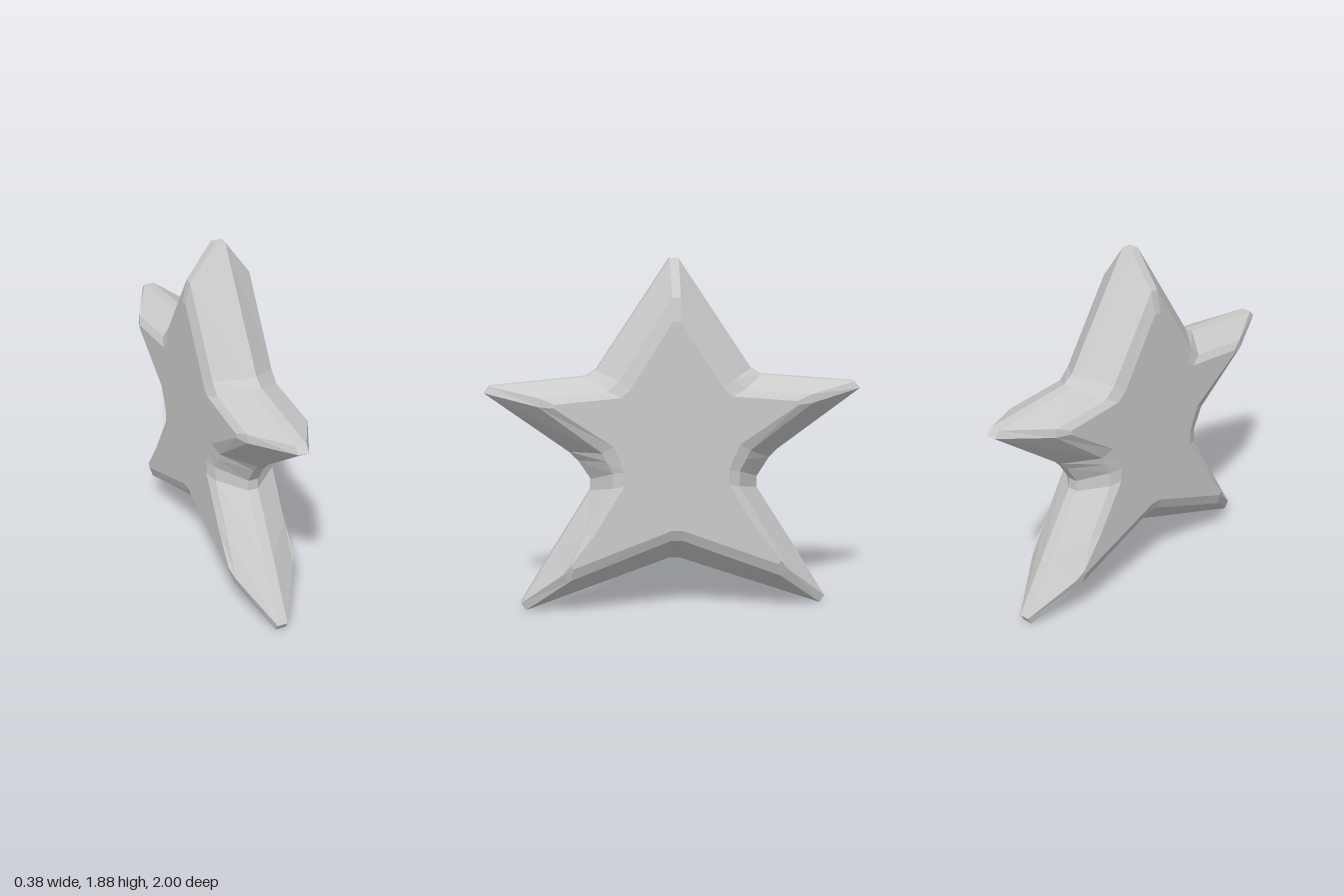
import * as THREE from 'three';

// Half outlines as [z, y], running from the top tip down one side to the bottom notch.
const RIM = [[0.025, 1.88], [0.41, 1.3], [0.465, 1.265], [0.97, 1.22], [1, 1.185], [0.56, 0.865], [0.51, 0.815],
  [0.445, 0.715], [0.445, 0.655], [0.64, 0.345], [0.825, 0.04], [0.8, 0], [0.03, 0.272]];
const SHOULDER = [[0.022, 1.69], [0.3, 1.26], [0.36, 1.205], [0.71, 1.175], [0.72, 1.13], [0.39, 0.88], [0.37, 0.835],
  [0.335, 0.77], [0.335, 0.69], [0.49, 0.43], [0.6, 0.23], [0.56, 0.195], [0.03, 0.4]];
const FACE = [[0.02, 1.57], [0.245, 1.215], [0.29, 1.175], [0.635, 1.145], [0.64, 1.125], [0.335, 0.92], [0.3, 0.85],
  [0.275, 0.78], [0.275, 0.705], [0.43, 0.455], [0.56, 0.285], [0.545, 0.265], [0.03, 0.46]];

// Closes a half outline by mirroring it across z = 0.
const mirrored = (half) => [...half, ...half.map(([z, y]) => [-z, y]).reverse()];

function starGeometry() {
  const levels = [[0.19, FACE], [0.165, SHOULDER], [0.028, RIM], [-0.028, RIM], [-0.165, SHOULDER], [-0.19, FACE]];
  const positions = [];
  const index = [];
  for (const [x, half] of levels) {
    for (const [z, y] of mirrored(half)) positions.push(x, y, z);
  }

  // Bevelled sides between neighbouring levels
  const n = RIM.length * 2;
  for (let k = 0; k < levels.length - 1; k++) {
    for (let i = 0; i < n; i++) {
      const j = (i + 1) % n;
      const a = k * n + i, b = k * n + j, c = a + n, d = b + n;
      index.push(a, c, b, b, c, d);
    }
  }

  // Flat star faces on both sides
  const contour = mirrored(FACE).map(([z, y]) => new THREE.Vector2(-z, y));
  const last = (levels.length - 1) * n;
  for (const [a, b, c] of THREE.ShapeUtils.triangulateShape(contour, [])) {
    index.push(a, b, c, last + a, last + c, last + b);
  }

  const geometry = new THREE.BufferGeometry();
  geometry.setAttribute('position', new THREE.Float32BufferAttribute(positions, 3));
  geometry.setIndex(index);
  const flat = geometry.toNonIndexed();
  flat.computeVertexNormals();
  return flat;
}

export function createModel() {
  const group = new THREE.Group();
  group.name = 'star';
  const material = new THREE.MeshStandardMaterial({ color: 0xcccccc, flatShading: true });
  const body = new THREE.Mesh(starGeometry(), material);
  body.name = 'starBody';
  group.add(body);
  return group;
}
